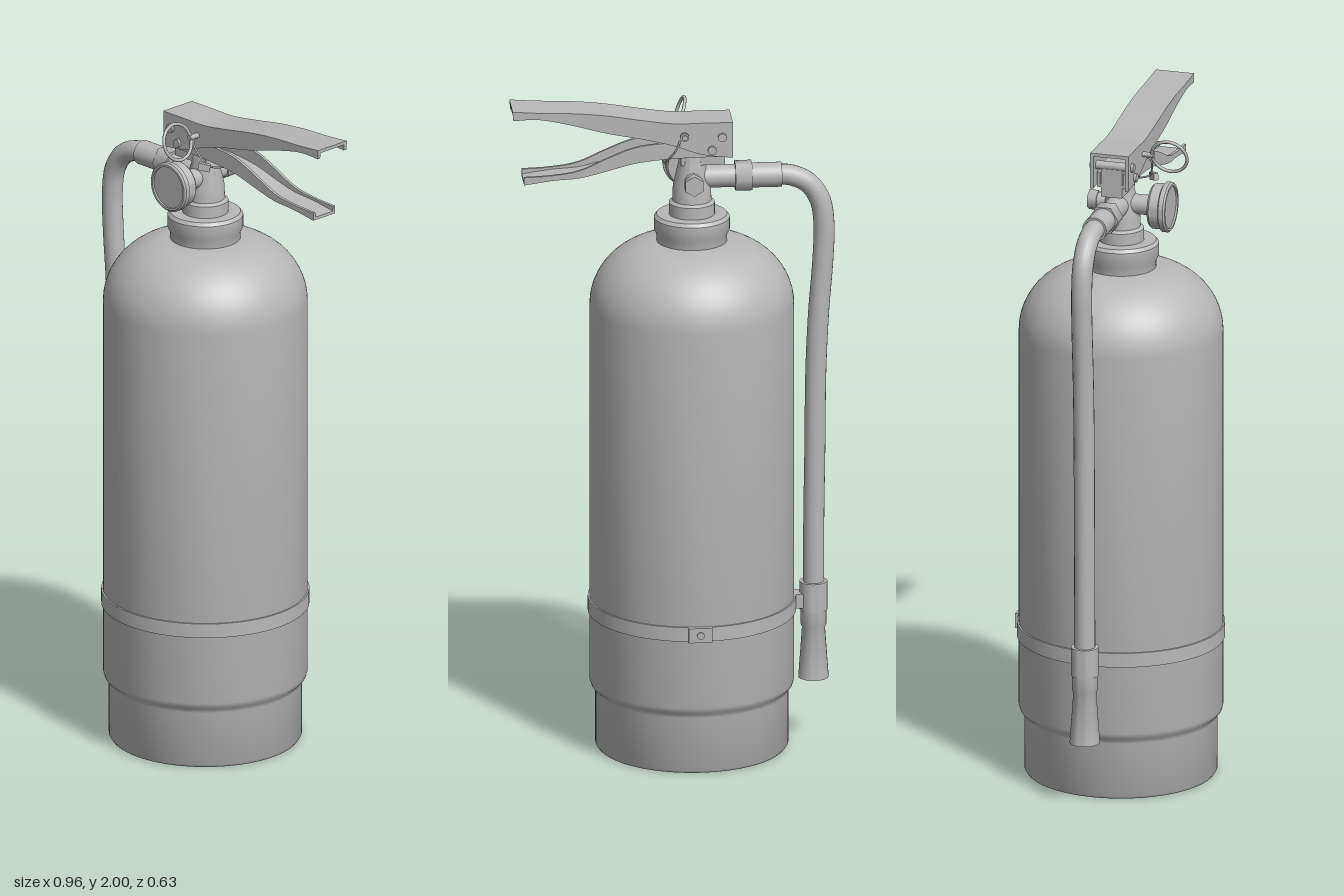
import * as THREE from 'three';
import { toCreasedNormals } from 'three/addons/utils/BufferGeometryUtils.js';

const AX = -0.055, AZ = 0.007; // axis of the cylinder and valve

export function createModel() {
  const model = new THREE.Group();
  const grey = new THREE.MeshStandardMaterial({ color: 0xb8b8b8, side: THREE.DoubleSide });
  grey.name = 'plain grey';

  const add = (name, geo, x = 0, y = 0, z = 0, parent = model) => {
    const m = new THREE.Mesh(geo, grey);
    m.name = name;
    m.position.set(x, y, z);
    parent.add(m);
    return m;
  };
  const v2 = (pts) => pts.map((p) => new THREE.Vector2(...p));
  const lathe = (pts, n = 64) => toCreasedNormals(new THREE.LatheGeometry(v2(pts), n), 0.6);
  const box = (name, w, h, d, x, y, z) => add(name, new THREE.BoxGeometry(w, h, d), x, y, z);
  // cylinder between two coordinates along x or z
  const rod = (name, axis, r, a, b, x, y, z, n = 32) => {
    const g = new THREE.CylinderGeometry(r, r, Math.abs(b - a), n);
    if (axis === 'x') g.rotateZ(Math.PI / 2); else g.rotateX(Math.PI / 2);
    const mid = (a + b) / 2;
    return add(name, g, axis === 'x' ? mid : x, y, axis === 'z' ? mid : z);
  };
  const tube = (name, pts, r, closed = false, n = 80, sides = 20) => add(name, new THREE.TubeGeometry(
    new THREE.CatmullRomCurve3(pts.map((p) => new THREE.Vector3(...p)), closed), n, r, sides, closed));

  // Tank: hollow foot, straight wall, domed shoulder
  const tank = [[0, 0.1], [0.12, 0.115], [0.2, 0.15], [0.24, 0.19], [0.262, 0.15], [0.262, 0.012], [0.268, 0.003],
    [0.279, 0.003], [0.285, 0.012], [0.285, 0.175], [0.289, 0.187], [0.298, 0.196], [0.302, 0.21], [0.302, 1.37]];
  for (let i = 1; i <= 14; i++) {
    const a = (i / 14) * Math.PI / 2;
    tank.push([0.092 + 0.21 * Math.cos(a), 1.37 + 0.2 * Math.sin(a)]);
  }
  add('tank', lathe(tank, 96), AX, 0, AZ);
  add('neckCollar', lathe([[0.104, 1.55], [0.104, 1.59], [0.112, 1.605], [0.112, 1.642], [0.104, 1.652], [0, 1.652]]), AX, 0, AZ);

  // Strap round the tank with its buckle at the back
  add('strap', lathe([[0.301, 0.42], [0.307, 0.42], [0.307, 0.464], [0.301, 0.464]], 96), AX, 0, AZ);
  box('strapBuckle', 0.07, 0.045, 0.014, AX, 0.442, -0.303);
  rod('buckleScrew', 'z', 0.011, -0.315, -0.305, AX, 0.442, 0, 16);

  // Valve
  add('valveBody', lathe([[0.068, 1.645], [0.068, 1.688], [0.058, 1.695], [0.056, 1.74], [0.04, 1.81],
    [0.036, 1.86], [0, 1.86]], 40), AX, 0, AZ);
  box('valveHead', 0.13, 0.1, 0.064, -0.085, 1.86, AZ);
  rod('valveStem', 'x', 0.034, -0.19, AX, 0, 1.765, AZ);
  rod('backPort', 'z', 0.024, -0.065, 0, AX, 1.765, 0);
  rod('backPortCap', 'z', 0.031, -0.09, -0.062, AX, 1.765, 0, 6);
  rod('gaugeNeck', 'z', 0.03, 0, 0.115, AX, 1.765, 0);
  const gauge = lathe([[0, 0.105], [0.062, 0.105], [0.068, 0.112], [0.068, 0.14], [0.075, 0.144], [0.075, 0.158],
    [0.07, 0.163], [0.063, 0.163], [0.063, 0.157], [0, 0.157]], 48);
  gauge.rotateX(Math.PI / 2);
  add('gauge', gauge, AX, 1.765, 0);

  // Levers: a curved plate with two side cheeks, from one edge curve and one cheek curve
  const sample = (pts) => new THREE.SplineCurve(v2(pts)).getPoints(28);
  const slab = (a, b, depth) => {
    const shape = new THREE.Shape([...a, ...b.slice().reverse()]);
    return toCreasedNormals(new THREE.ExtrudeGeometry(shape, { depth, bevelEnabled: false }), 0.5);
  };
  const channel = (name, plate, cheek, width, t) => {
    const g = new THREE.Group();
    g.name = name;
    model.add(g);
    const p = sample(plate), c = sample(cheek);
    const inner = p.map((q) => new THREE.Vector2(q.x, q.y + t));
    add(name + 'Plate', slab(p, inner, width), 0, 0, AZ - width / 2, g);
    for (const z of [AZ - width / 2, AZ + width / 2 - Math.abs(t)]) {
      add(name + 'Cheek', slab(p, c, Math.abs(t)), 0, 0, z, g);
    }
  };
  channel('upperLever',
    [[-0.172, 1.95], [-0.08, 1.95], [0.0, 1.95], [0.09, 1.962], [0.2, 1.98], [0.3, 1.99], [0.4, 1.994], [0.48, 2.0]],
    [[-0.172, 1.84], [-0.08, 1.852], [0.0, 1.88], [0.09, 1.903], [0.2, 1.925], [0.3, 1.952], [0.4, 1.973], [0.478, 1.972]],
    0.118, -0.01);
  channel('lowerLever',
    [[-0.15, 1.84], [-0.04, 1.838], [0.04, 1.834], [0.12, 1.824], [0.2, 1.803], [0.28, 1.784], [0.36, 1.778], [0.445, 1.766]],
    [[-0.15, 1.885], [-0.04, 1.885], [0.04, 1.884], [0.12, 1.873], [0.2, 1.842], [0.28, 1.807], [0.36, 1.794], [0.445, 1.79]],
    0.09, 0.009);
  rod('upperRivet', 'z', 0.013, -0.06, 0.074, -0.14, 1.905, 0, 20);
  rod('lowerRivet', 'z', 0.013, -0.06, 0.074, -0.11, 1.865, 0, 20);

  // Safety pin with pull ring and seal
  rod('safetyPin', 'z', 0.008, -0.075, 0.1, -0.028, 1.912, 0, 16);
  rod('pinTip', 'z', 0.013, -0.07, -0.06, -0.028, 1.912, 0, 16);
  const ring = add('pullRing', new THREE.TorusGeometry(0.054, 0.005, 10, 48), -0.028, 1.912, 0.148);
  ring.rotation.set(0, Math.PI / 2, 0.33, 'ZYX');
  tube('sealLoop', [[-0.025, 1.9, 0.085], [0.0, 1.86, 0.085], [0.02, 1.83, 0.07], [0.03, 1.815, 0.0],
    [0.02, 1.835, -0.045], [-0.01, 1.885, -0.062], [-0.02, 1.915, 0.0]], 0.003, true, 60, 6);
  const tag = box('sealTag', 0.036, 0.022, 0.014, 0.02, 1.83, 0.085);
  tag.rotation.set(0, 0.7, -0.2);

  // Hose with its fittings
  rod('hoseNut', 'x', 0.046, -0.232, -0.182, 0, 1.765, AZ, 6);
  rod('hoseFerrule', 'x', 0.037, -0.32, -0.23, 0, 1.765, AZ);
  tube('hose', [[-0.3, 1.765, AZ], [-0.345, 1.763, AZ], [-0.398, 1.738, AZ], [-0.434, 1.685, AZ], [-0.446, 1.61, AZ],
    [-0.443, 1.5, AZ], [-0.43, 1.33, AZ], [-0.422, 1.15, AZ], [-0.419, 0.9, AZ], [-0.416, 0.7, AZ], [-0.415, 0.46, AZ]], 0.031);

  // Nozzle and the clip holding it to the strap
  add('nozzle', lathe([[0.03, 0.43], [0.038, 0.42], [0.038, 0.365], [0.034, 0.355], [0.045, 0.2], [0.037, 0.2],
    [0.022, 0.3], [0, 0.3]], 32), -0.415, 0, AZ);
  add('hoseClip', lathe([[0.03, 0.41], [0.041, 0.41], [0.041, 0.498], [0.03, 0.498]], 32), -0.415, 0, AZ);
  box('clipArm', 0.05, 0.044, 0.05, -0.365, 0.442, AZ);

  return model;
}
